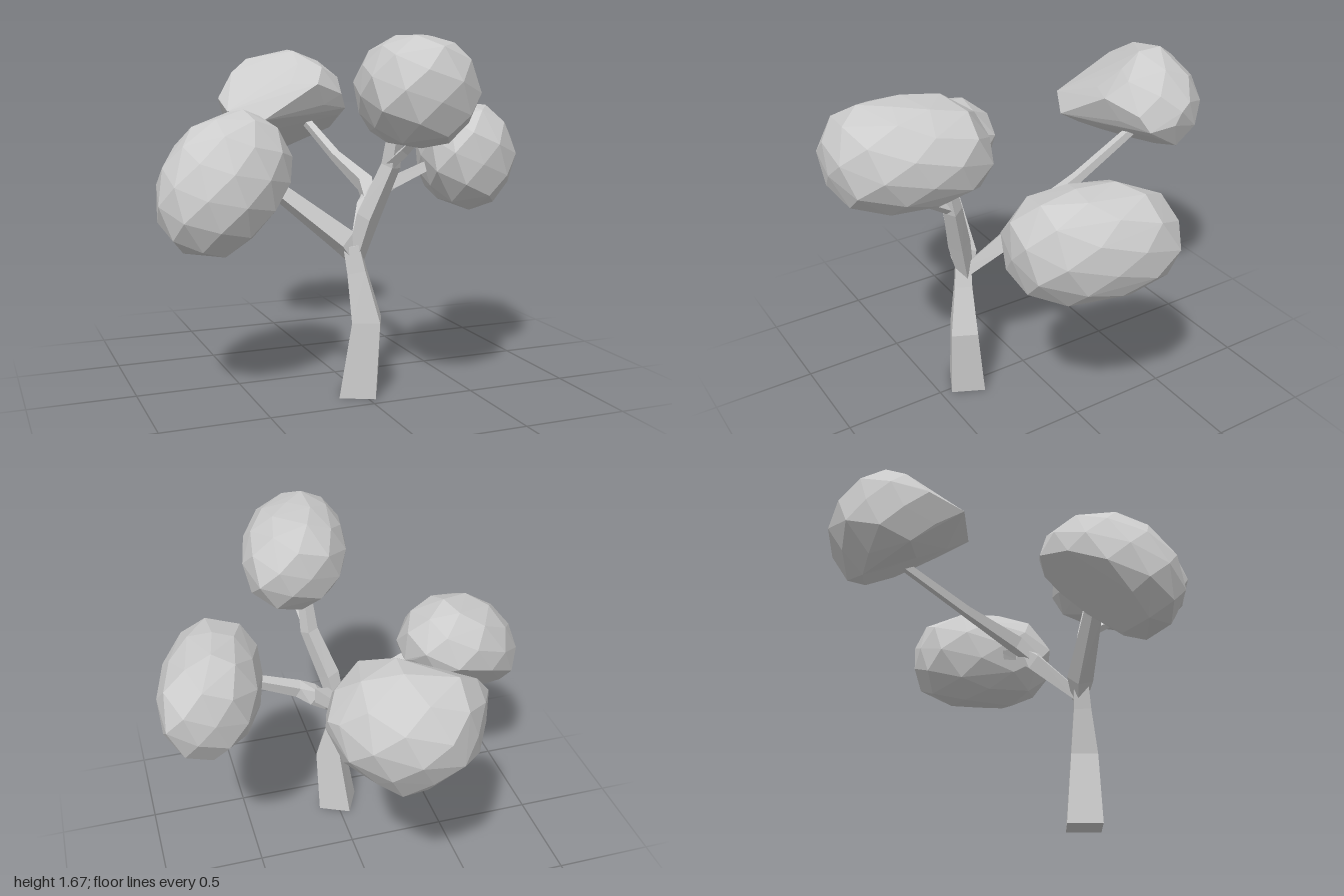
import * as THREE from 'three';
import { ConvexGeometry } from 'three/addons/geometries/ConvexGeometry.js';

const material = new THREE.MeshStandardMaterial({ color: 0xcccccc, flatShading: true });
const V = (a) => new THREE.Vector3(...a);

// Four-sided limb lofted through stations [x, y, z, radius]; ref points to the first corner.
function limb(name, stations, ref) {
  const pts = stations.map(([x, y, z]) => V([x, y, z]));
  const pos = [], idx = [], last = pts.length - 1;
  pts.forEach((p, i) => {
    const t = pts[Math.min(i + 1, last)].clone().sub(pts[Math.max(i - 1, 0)]).normalize();
    if (name === 'trunk' && i === 0) t.set(0, 1, 0);
    const u = V(ref).addScaledVector(t, -V(ref).dot(t)).normalize();
    const v = t.clone().cross(u);
    for (let k = 0; k < 4; k++) {
      const a = k * Math.PI / 2, r = stations[i][3];
      const c = p.clone().addScaledVector(u, r * Math.cos(a)).addScaledVector(v, r * Math.sin(a));
      pos.push(c.x, c.y, c.z);
      if (i < last) {
        const A = i * 4 + k, B = i * 4 + (k + 1) % 4;
        idx.push(A, B, B + 4, A, B + 4, A + 4);
      }
    }
  });
  const e = last * 4;
  idx.push(0, 2, 1, 0, 3, 2, e, e + 1, e + 2, e, e + 2, e + 3);
  const g = new THREE.BufferGeometry();
  g.setAttribute('position', new THREE.Float32BufferAttribute(pos, 3));
  g.setIndex(idx);
  const flat = g.toNonIndexed();
  flat.computeVertexNormals();
  const mesh = new THREE.Mesh(flat, material);
  mesh.name = name;
  return mesh;
}

// Faceted crown: a hull round in x and y, squarer along z for a higher power,
// stretched along an axis, flattened by cuts and fitted to a box.
function crown({ name, min, max, count, power = 2, axis = [0, 1, 0], stretch = 0, shear = 0, cuts = [], tips = [], spin = 0 }) {
  const ax = V(axis).normalize(), pts = [];
  for (let i = 0; i < count; i++) {
    const y = 1 - 2 * (i + 0.5) / count, r = Math.sqrt(1 - y * y), a = i * 2.39996 + spin;
    const p = V([r * Math.cos(a), y, r * Math.sin(a)]);
    const n = Math.hypot(p.x, p.y) ** power + Math.abs(p.z) ** power;
    p.multiplyScalar(n ** (-1 / power));
    p.addScaledVector(ax, stretch * p.dot(ax));
    p.x += shear * p.z;
    for (const [nx, ny, nz, d] of cuts) {
      const nrm = V([nx, ny, nz]).normalize();
      p.addScaledVector(nrm, -Math.max(0, p.dot(nrm) - d));
    }
    pts.push(p);
  }
  tips.forEach((t) => pts.push(V(t)));
  const box = new THREE.Box3().setFromPoints(pts), size = box.getSize(new THREE.Vector3());
  const lo = V(min), span = V(max).sub(lo);
  pts.forEach((p) => p.sub(box.min).divide(size).multiply(span).add(lo));
  const mesh = new THREE.Mesh(new ConvexGeometry(pts), material);
  mesh.name = name;
  return mesh;
}

export function createModel() {
  const tree = new THREE.Group();
  tree.name = 'tree';

  // Trunk and branches
  tree.add(
    limb('trunk', [[-0.01, 0, 0.335, 0.12], [0.02, 0.36, 0.36, 0.092], [-0.02, 0.59, 0.335, 0.06], [-0.04, 0.71, 0.32, 0.052]], [0.04, 0, 0.115]),
    limb('rightBranch', [[-0.02, 0.64, 0.32, 0.035], [-0.07, 0.73, 0.3, 0.065], [-0.34, 0.95, 0.23, 0.045], [-0.45, 1.03, 0.2, 0.035]], [0.5, 1, 0.5]),
    limb('frontBranch', [[-0.02, 0.65, 0.32, 0.04], [0.02, 0.85, 0.37, 0.055], [0.1, 1.09, 0.44, 0.045], [0.11, 1.28, 0.48, 0.035]], [1, 0, 0.3]),
    limb('frontTwig', [[0.1, 1.1, 0.45, 0.03], [0.12, 1.17, 0.56, 0.025], [0.13, 1.26, 0.7, 0.02]], [1, 0, 0]),
    limb('leftBranch', [[-0.02, 0.66, 0.32, 0.035], [0.11, 0.86, 0.15, 0.055], [0.17, 0.93, 0.11, 0.055], [0.24, 0.965, 0.13, 0.042], [0.5, 1.07, 0.13, 0.03]], [0.3, 1, 0.5]),
    limb('backBranch', [[0.12, 0.88, 0.15, 0.035], [0.14, 0.96, 0.05, 0.048], [0.1, 1.07, -0.25, 0.03], [0.06, 1.25, -0.65, 0.025]], [0.7, 1, 0]),
  );

  // Leaf crowns
  tree.add(
    crown({
      name: 'rightCrown', min: [-0.93, 0.7, -0.13], max: [-0.28, 1.34, 0.47], count: 56,
      axis: [0.6, 0.6, -0.45], stretch: 0.35,
      cuts: [[0.78, -0.6, -0.15, 0.68], [0.1, -0.73, -0.67, 0.53]], tips: [[1.08, 0.2, -0.35]],
    }),
    crown({
      name: 'frontCrown', min: [-0.17, 1.2, 0.33], max: [0.4, 1.67, 1], count: 52,
      power: 2.9, shear: -0.25, spin: 1, cuts: [[0, 1, 0, 0.94], [0, -1, 0, 0.94]],
    }),
    crown({
      name: 'leftCrown', min: [0.4, 0.83, -0.27], max: [0.93, 1.35, 0.43], count: 50,
      power: 2.9, shear: -0.33, spin: 2, cuts: [[0, 1, 0, 0.96], [0, -1, 0, 0.96]],
    }),
    crown({
      name: 'backCrown', min: [-0.41, 1.04, -1], max: [0.31, 1.61, -0.38], count: 52, spin: 0.5,
      cuts: [[0.27, -0.82, 0.5, 0.58], [-0.45, 0.7, 0.55, 0.66], [0.3, -0.3, 0.9, 0.75], [-0.86, 0, -0.5, 0.85]],
      tips: [[-0.53, -0.26, 0.97], [-1, -0.1, 0.68], [-1, 0.1, 0.13], [0.9, -0.1, 0.45], [1, 0.2, -0.05],
        [-0.1, -1, -0.48], [0.25, -0.92, -0.6], [0.4, 0.35, 0.62], [0.2, 1, -0.3]],
    }),
  );
  return tree;
}
